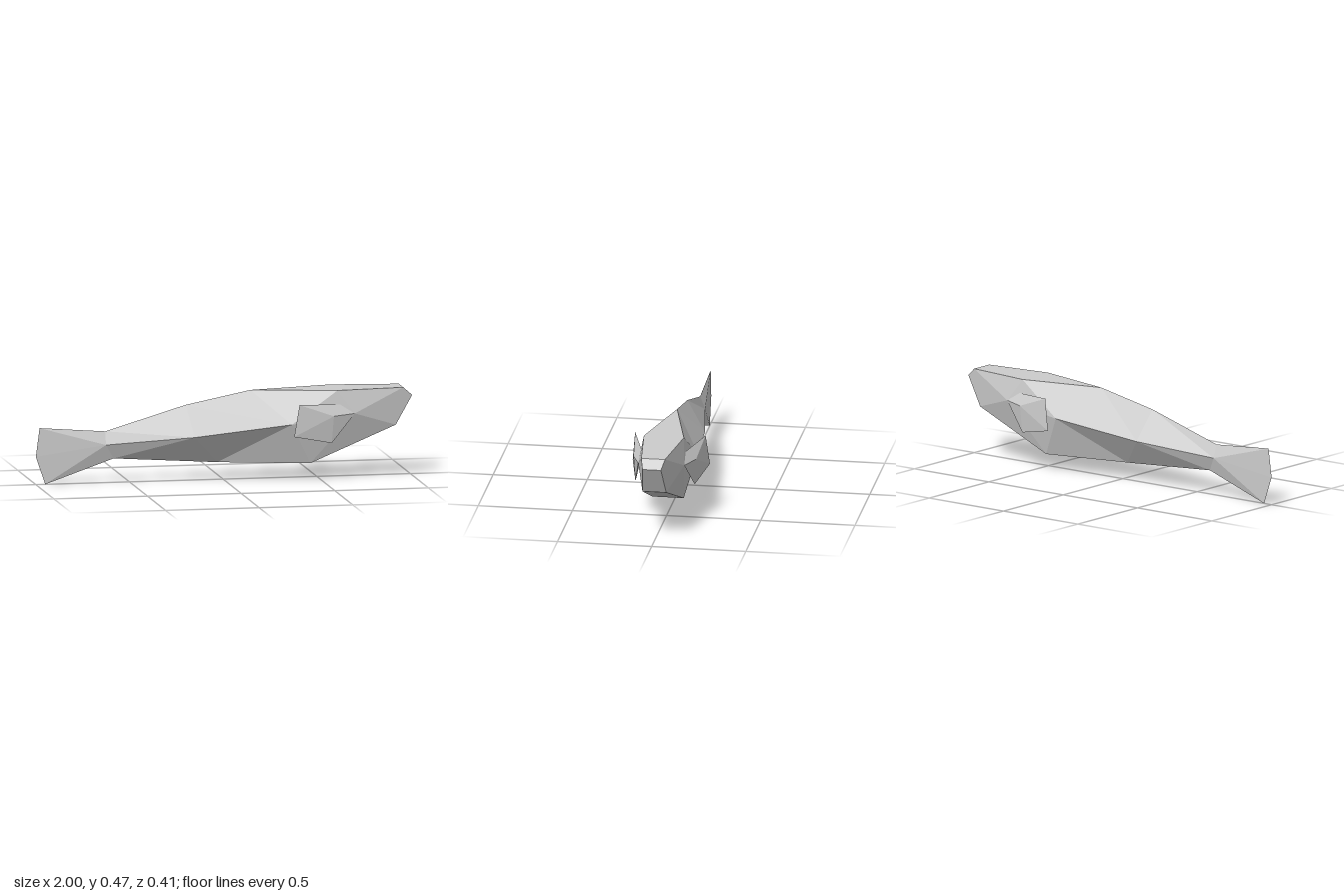
import * as THREE from 'three';

// Key points on the centre line and on the +z side; a trailing ' means the mirrored point
const P = {
  // snout and head
  noseTop: [0.95, 0.472, 0.063], nose: [1.0, 0.428, 0.049], jaw: [0.91, 0.275, 0.063],
  crown: [0.59, 0.472, 0.106], nape: [0.145, 0.472, 0], cheek: [0.68, 0.35, 0.122],
  // back ridge
  back: [-0.2, 0.403, 0], backEnd: [-0.63, 0.275, 0],
  // widest line along the flank
  gill: [0.34, 0.302, 0.14], flank: [-0.17, 0.243, 0.098], flankEnd: [-0.63, 0.206, 0.026],
  // belly
  chest: [0.45, 0.087, 0.083], belly: [-0.03, 0.094, 0], bellyEnd: [-0.585, 0.13, 0],
  // tail edge
  tailTop: [-0.98, 0.302, 0], tailMid: [-1.0, 0.15, 0], tailLow: [-0.95, 0.003, 0],
  // side fin
  finBump: [0.56, 0.345, 0.166], finTop: [0.372, 0.413, 0.187], finTip: [0.34, 0.247, 0.205],
  finLow: [0.55, 0.202, 0.157], finFront: [0.68, 0.35, 0.122], finRoot: [0.6, 0.4, 0.118],
  finInner: [0.56, 0.32, 0.13],
};

function point(name, flip) {
  const primed = name.endsWith("'");
  const [x, y, z] = P[primed ? name.slice(0, -1) : name];
  return [x, y, primed !== flip ? -z : z];
}

// Faceted geometry from named faces, each split as a fan
function facets(faces, flip = false) {
  const pos = [];
  for (const face of faces) {
    const pts = face.split(' ').map((n) => point(n, flip));
    if (flip) pts.reverse();
    for (let i = 1; i < pts.length - 1; i++) pos.push(...pts[0], ...pts[i], ...pts[i + 1]);
  }
  const geo = new THREE.BufferGeometry();
  geo.setAttribute('position', new THREE.Float32BufferAttribute(pos, 3));
  geo.computeVertexNormals();
  return geo;
}

const bodySide = [
  'nape gill crown', 'crown gill cheek', 'crown cheek noseTop',
  'noseTop cheek jaw', 'noseTop jaw nose',
  'cheek gill chest', 'cheek chest jaw',
  'back flank gill nape', 'backEnd flankEnd flank back',
  'gill flank belly', 'gill belly chest',
  'flank flankEnd bellyEnd', 'flank bellyEnd belly',
];
const bodyCentre = [
  "noseTop noseTop' crown' nape crown", "noseTop nose nose' noseTop'",
  "nose jaw jaw' nose'", "jaw chest chest' jaw'", "chest belly chest'",
];
const tailSide = [
  'flankEnd backEnd tailTop', 'flankEnd tailTop tailMid',
  'flankEnd tailMid tailLow', 'flankEnd tailLow bellyEnd',
];
// Fin: a fan around the outer bump, closed by a fan around the inner point
const finRim = ['finTop', 'finTip', 'finLow', 'finFront', 'finRoot'];
const finFaces = finRim.flatMap((a, i) => {
  const b = finRim[(i + 1) % finRim.length];
  return [`finBump ${a} ${b}`, `finInner ${b} ${a}`];
});

export function createModel() {
  const model = new THREE.Group();
  model.name = 'fish';
  const grey = new THREE.MeshStandardMaterial({ color: 0xcccccc, flatShading: true });
  grey.name = 'grey';

  const add = (name, geo) => {
    const mesh = new THREE.Mesh(geo, grey);
    mesh.name = name;
    model.add(mesh);
  };

  add('headAndBelly', facets(bodyCentre));
  for (const [side, flip] of [['right', false], ['left', true]]) {
    add(side + 'Body', facets(bodySide, flip));
    add(side + 'Tail', facets(tailSide, flip));
    add(side + 'Fin', facets(finFaces, flip));
  }
  return model;
}
